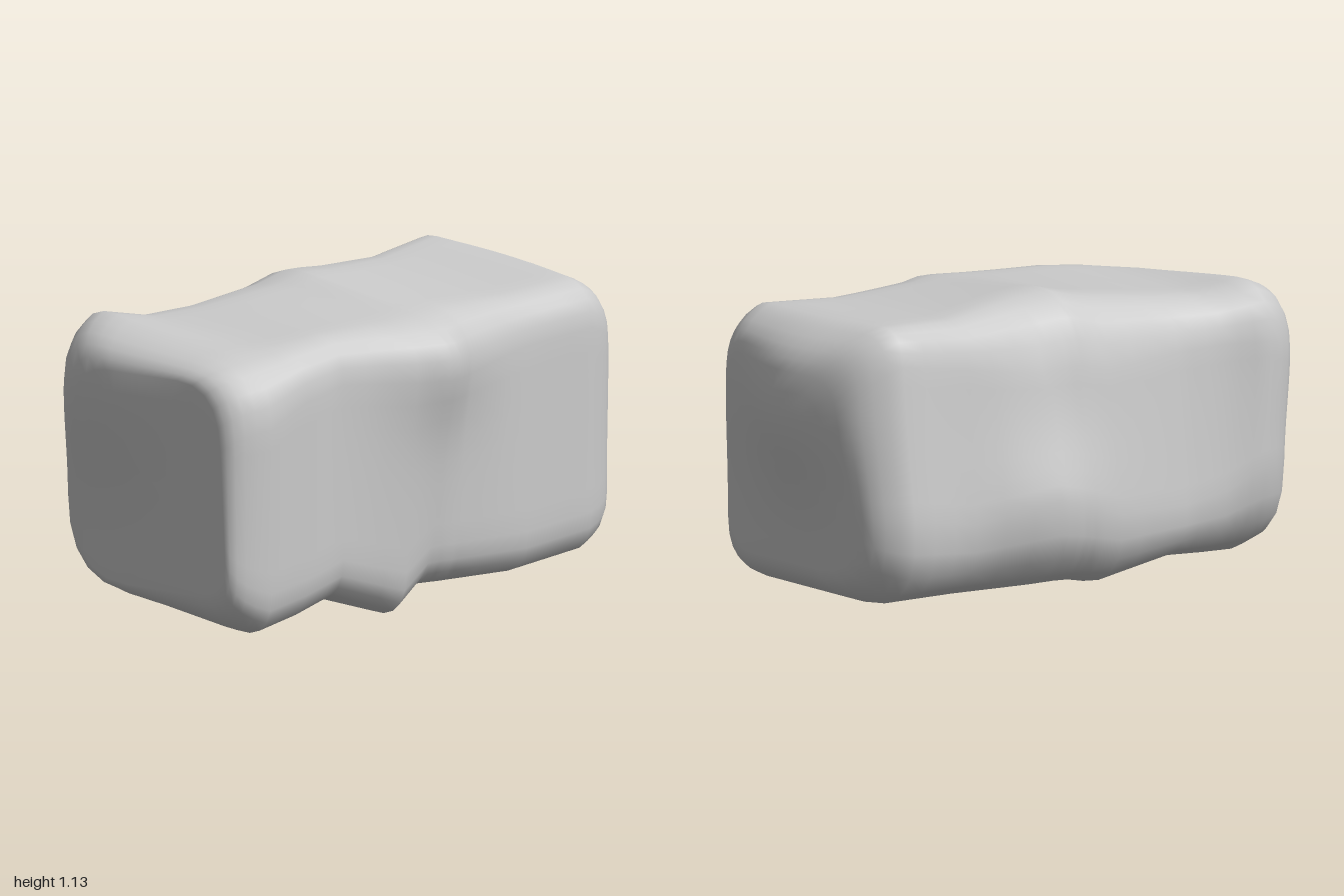
import * as THREE from 'three';

// Cross-sections along x, the first and last being the end faces:
// x, frontLow z, frontTop z, backLow z, backTop z, bottomFront y, bottomBack y, topFront y, topBack y,
// corner rounding: bottomFront, bottomBack, topBack, topFront
const SECTIONS = [
  [-0.935, 0.37, 0.33, -0.42, -0.33, 0.17, 0.13, 0.93, 0.92, 0.18, 0.36, 0.22, 0.3],
  [-0.78, 0.44, 0.44, -0.54, -0.52, 0.0, 0.11, 0.99, 1.1, 0.18, 0.33, 0.22, 0.22],
  [-0.62, 0.455, 0.455, -0.54, -0.46, 0.04, 0.12, 1.03, 1.05, 0.17, 0.26, 0.18, 0.18],
  [-0.45, 0.46, 0.46, -0.54, -0.43, 0.09, 0.13, 1.05, 1.06, 0.17, 0.22, 0.2, 0.17],
  [-0.15, 0.46, 0.51, -0.56, -0.44, -0.02, 0.09, 1.05, 1.11, 0.17, 0.25, 0.25, 0.18],
  [-0.03, 0.45, 0.53, -0.56, -0.43, 0.07, 0.09, 1.05, 1.15, 0.17, 0.28, 0.25, 0.2],
  [0.03, 0.45, 0.53, -0.56, -0.42, 0.07, 0.09, 1.05, 1.15, 0.17, 0.3, 0.25, 0.2],
  [0.13, 0.44, 0.49, -0.57, -0.41, 0.06, 0.09, 1.05, 1.14, 0.17, 0.33, 0.25, 0.2],
  [0.45, 0.46, 0.45, -0.51, -0.43, 0.05, 0.1, 1.05, 1.1, 0.17, 0.28, 0.17, 0.16],
  [0.75, 0.47, 0.465, -0.57, -0.46, 0.08, 0.1, 1.07, 1.12, 0.17, 0.33, 0.13, 0.16],
  [0.89, 0.38, 0.37, -0.4, -0.3, 0.2, 0.22, 0.93, 0.93, 0.18, 0.33, 0.18, 0.18],
];

// Local swellings: centre, radius, push
const LUMPS = [
  { at: [0.89, 0.8, -0.04], radius: 0.31, push: [0.11, 0, 0] },
  { at: [-0.935, 0.87, -0.28], radius: 0.35, push: [-0.068, 0, 0] },
  { at: [0.02, 0.93, 0.52], radius: 0.22, push: [0, 0, 0.05] },
  { at: [0.13, 0.4, -0.53], radius: 0.25, push: [0, 0, -0.05] },
].map(({ at, radius, push }) => ({
  at: new THREE.Vector3(...at), radius, push: new THREE.Vector3(...push),
}));
const CORNER_STEPS = 5;
const EDGE_STEPS = 8;

// Four-cornered section with rounded corners, counter-clockwise seen from +x
function ring([x, fl, fu, bl, bu, bf, bb, tf, tb, ...fillets]) {
  const corners = [[fl, bf], [bl, bb], [bu, tb], [fu, tf]].map(([z, y]) => new THREE.Vector3(x, y, z));
  const points = [];
  corners.forEach((c, i) => {
    const k = (i + 1) % 4;
    const start = c.clone().lerp(corners[(i + 3) % 4], fillets[i]);
    const end = c.clone().lerp(corners[k], fillets[i]);
    const nextStart = corners[k].clone().lerp(c, fillets[k]);
    points.push(...new THREE.QuadraticBezierCurve3(start, c, end).getPoints(CORNER_STEPS));
    for (let s = 1; s < EDGE_STEPS; s++) points.push(end.clone().lerp(nextStart, s / EDGE_STEPS));
  });
  return points;
}

function swell(p) {
  const q = p.clone();
  for (const { at, radius, push } of LUMPS) {
    q.addScaledVector(push, Math.exp(-p.distanceToSquared(at) / radius ** 2));
  }
  return q;
}

// Body rings with two extra rings between neighbouring sections
function bodyRings(sections) {
  return sections.flatMap((a, i) => {
    const b = sections[i + 1];
    return b ? [0, 1 / 3, 2 / 3].map((t) => a.map((p, j) => p.clone().lerp(b[j], t))) : [a];
  });
}

// Rings that round off one end from the outermost body ring to the closed face
function endRings(base, face) {
  const shoulder = [0.2, 0.4, 0.6, 0.8, 1].map((t) => base.map((p, j) => {
    const control = p.clone().lerp(face[j], 0.33).setX(face[j].x);
    return new THREE.QuadraticBezierCurve3(p, control, face[j]).getPoint(t);
  }));
  const centre = new THREE.Vector3();
  face.forEach((p) => centre.addScaledVector(p, 1 / face.length));
  const cap = [0.8, 0.6, 0.4, 0.2, 0].map((s) => face.map((p) => centre.clone().lerp(p, s)));
  return [...shoulder, ...cap];
}

// Skin over all rings
function skin(rings) {
  const n = rings[0].length;
  const index = [];
  for (let i = 0; i < rings.length - 1; i++) {
    for (let j = 0; j < n; j++) {
      const a = i * n + j;
      const b = i * n + ((j + 1) % n);
      index.push(a, b, b + n, a, b + n, a + n);
    }
  }
  const geometry = new THREE.BufferGeometry().setFromPoints(rings.flat().map(swell));
  geometry.setIndex(index);
  geometry.computeVertexNormals();
  return geometry;
}

export function createModel() {
  const all = SECTIONS.map(ring);
  const body = all.slice(1, -1);
  const rings = [
    ...endRings(body[0], all[0]).reverse(),
    ...bodyRings(body),
    ...endRings(body[body.length - 1], all[all.length - 1]),
  ];
  const rock = new THREE.Mesh(skin(rings), new THREE.MeshStandardMaterial({ color: 0xcccccc }));
  rock.name = 'rock';

  // Stand on the ground
  rock.geometry.computeBoundingBox();
  rock.geometry.translate(0, -rock.geometry.boundingBox.min.y, 0);

  const model = new THREE.Group();
  model.name = 'boulder';
  model.add(rock);
  return model;
}
